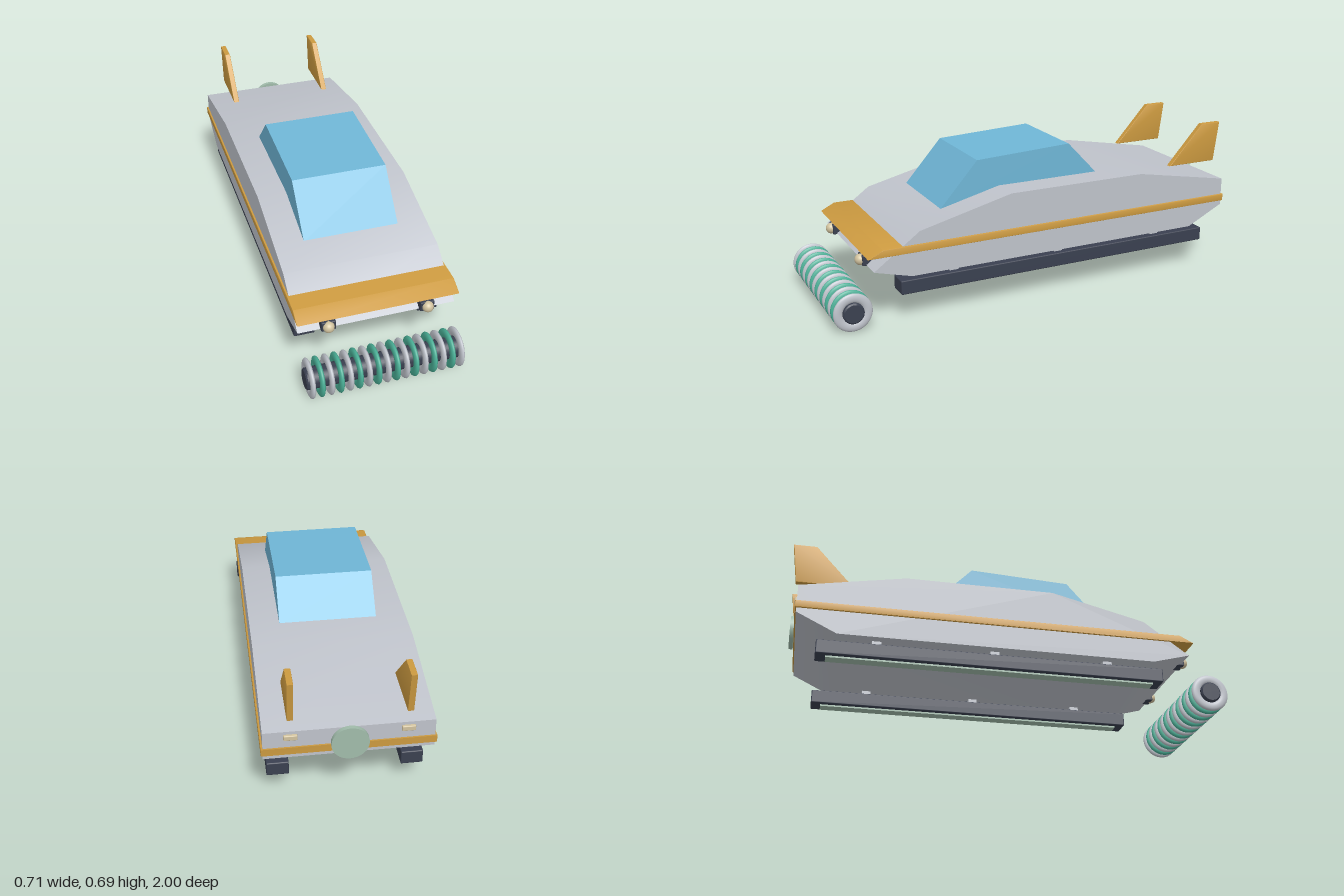
import * as THREE from 'three';
import { toCreasedNormals } from 'three/addons/utils/BufferGeometryUtils.js';
import { RoundedBoxGeometry } from 'three/addons/geometries/RoundedBoxGeometry.js';

const paint = (name, color) => {
  const m = new THREE.MeshStandardMaterial({ color });
  m.name = name;
  return m;
};

// Side profile given as [z, y] points, extruded across x and centred
function slab(points, width, crease = 0.1, bevel = 0) {
  const shape = new THREE.Shape(points.map(([z, y]) => new THREE.Vector2(z, y)));
  const depth = width - 2 * bevel;
  const geo = new THREE.ExtrudeGeometry(shape, {
    depth, bevelEnabled: bevel > 0, bevelSize: bevel, bevelThickness: bevel,
    bevelOffset: -bevel, bevelSegments: 2,
  });
  geo.translate(0, 0, -depth / 2);
  geo.rotateY(-Math.PI / 2);
  return toCreasedNormals(geo, crease);
}

export function createModel() {
  const grey = paint('silver grey', 0xbfc3cb);
  const gold = paint('gold', 0xcc9a40);
  const blue = paint('glass blue', 0x6fb6d6);
  const dark = paint('dark slate', 0x3a4050);
  const teal = paint('teal', 0x4aaf96);
  const cream = paint('cream', 0xd2c39f);
  const sage = paint('sage', 0xa0bbaa);

  const model = new THREE.Group();
  const add = (name, geo, mat, x = 0, y = 0, z = 0, parent = model) => {
    const mesh = new THREE.Mesh(geo, mat);
    mesh.name = name;
    mesh.position.set(x, y, z);
    parent.add(mesh);
    return mesh;
  };

  // Hull, belt and canopy
  add('hull', slab([
    [0.82, 0.258], [0.61, 0.41], [0.18, 0.515], [-0.49, 0.515], [-0.96, 0.43],
    [-0.96, 0.3], [-0.78, 0.212], [0.65, 0.212],
  ], 0.696, 0.5), grey);
  add('belt', slab([
    [0.845, 0.32], [0.78, 0.353], [-0.967, 0.353], [-0.967, 0.32],
  ], 0.712, 0.5, 0.003), gold);
  add('canopy', slab([
    [0.465, 0.443], [0.285, 0.645], [-0.175, 0.667], [-0.325, 0.51],
  ], 0.432), blue);

  // Parts repeated on both sides
  const finGeo = slab([
    [-0.72, 0.497], [-0.895, 0.688], [-1, 0.688], [-0.975, 0.497],
  ], 0.026, 0.5, 0.003);
  const skidGeo = new RoundedBoxGeometry(0.094, 0.064, 1.56, 2, 0.005);
  const padGeo = new THREE.BoxGeometry(0.052, 0.02, 1.47);
  const strutGeo = new THREE.BoxGeometry(0.043, 0.04, 0.042);
  const lampBoxGeo = new RoundedBoxGeometry(0.063, 0.046, 0.05, 2, 0.004);
  const lampGeo = new THREE.SphereGeometry(0.025, 24, 16);
  const tailGeo = new RoundedBoxGeometry(0.056, 0.024, 0.02, 2, 0.004);
  for (const [side, s] of [['left', 1], ['right', -1]]) {
    add(side + 'Fin', finGeo, gold, s * 0.238);
    add(side + 'Skid', skidGeo, dark, s * 0.283, 0.156, -0.085);
    add(side + 'SkidPad', padGeo, sage, s * 0.283, 0.126, -0.085);
    for (const z of [0.44, -0.08, -0.605])
      add(side + 'Strut', strutGeo, grey, s * 0.283, 0.2, z);
    add(side + 'HeadlightHousing', lampBoxGeo, dark, s * 0.218, 0.276, 0.811);
    add(side + 'Headlight', lampGeo, cream, s * 0.219, 0.276, 0.837);
    add(side + 'TailLight', tailGeo, cream, s * 0.237, 0.404, -0.962);
  }

  // Round plate on the tail
  add('tailDisc', new THREE.CylinderGeometry(0.077, 0.077, 0.018, 32).rotateX(Math.PI / 2),
    sage, 0, 0.365, -0.977);

  // Front roller: dark core with alternating flattened rings
  const roller = new THREE.Group();
  roller.name = 'roller';
  roller.position.set(0, 0.087, 0.913);
  model.add(roller);
  const h = 0.348, r = 0.047, c = 0.006;
  const coreProfile = [[0, -h], [r - c, -h], [r, -h + c], [r, h - c], [r - c, h], [0, h]]
    .map(([x, y]) => new THREE.Vector2(x, y));
  add('rollerCore', toCreasedNormals(
    new THREE.LatheGeometry(coreProfile, 32).rotateZ(Math.PI / 2), 0.5), dark, 0, 0, 0, roller);
  const ringGeo = new THREE.TorusGeometry(0.066, 0.021, 12, 40)
    .scale(1, 1, 0.52).rotateY(Math.PI / 2);
  for (let i = 0; i < 17; i++)
    add('rollerRing', ringGeo, i % 2 ? teal : grey, (i - 8) * 0.041, 0, 0, roller);

  return model;
}
